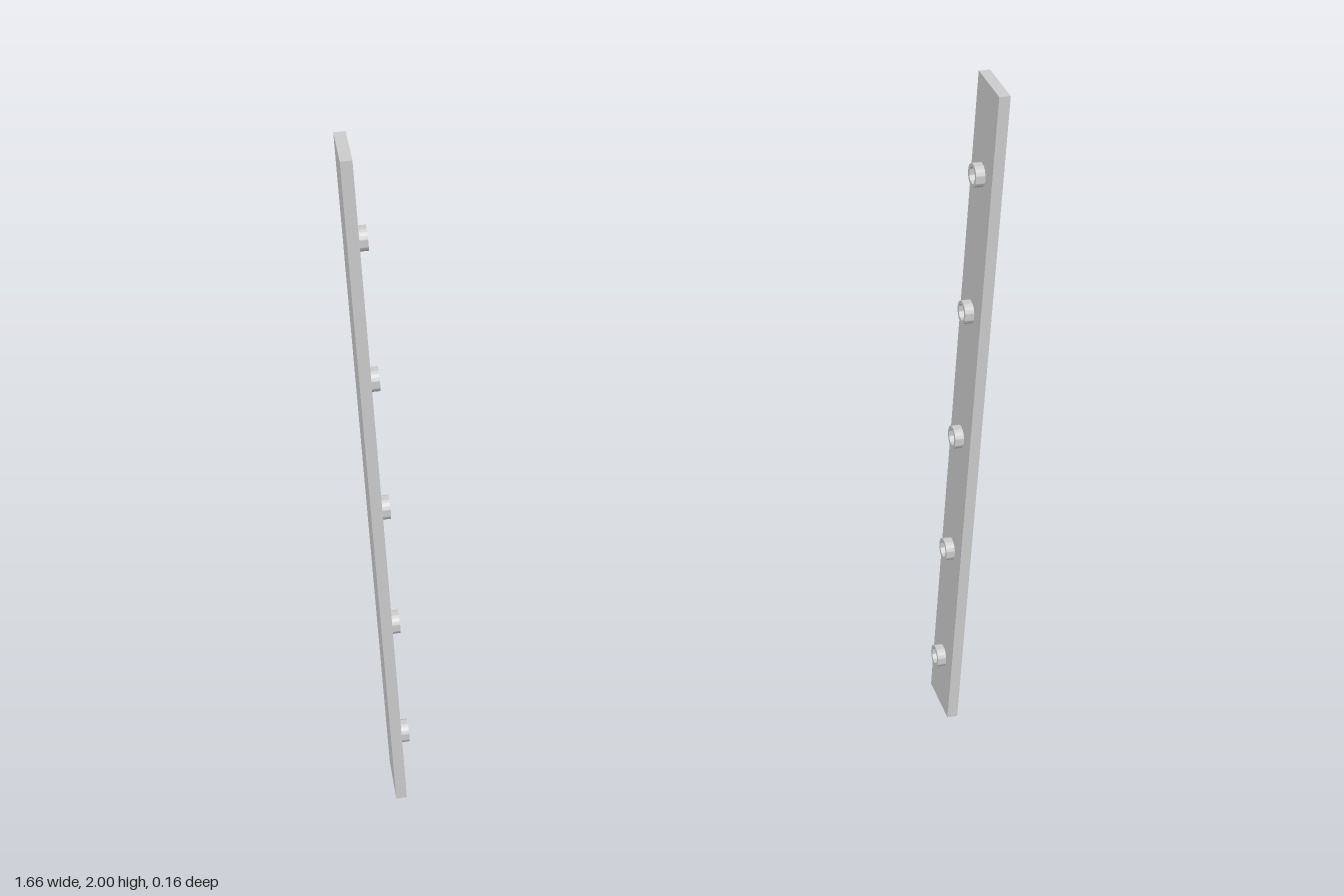
import * as THREE from 'three';
import { toCreasedNormals } from 'three/addons/utils/BufferGeometryUtils.js';

const INNER_FACE = 0.8, THICKNESS = 0.03, WIDTH = 0.16;
const RING_HEIGHTS = [0.173, 0.56, 0.942, 1.34, 1.746];

// Short hollow collar, starting at x = 0 and pointing along +x
function ringGeometry(outer, inner, depth) {
  const shape = new THREE.Shape().absarc(0, 0, outer, 0, Math.PI * 2, false);
  shape.holes.push(new THREE.Path().absarc(0, 0, inner, 0, Math.PI * 2, true));
  const geometry = new THREE.ExtrudeGeometry(shape, { depth, bevelEnabled: false, curveSegments: 32 });
  return toCreasedNormals(geometry.rotateY(Math.PI / 2), 0.6);
}

export function createModel() {
  const model = new THREE.Group();
  model.name = 'uprightPair';
  const material = new THREE.MeshStandardMaterial({ color: 0xcccccc });
  const plankGeometry = new THREE.BoxGeometry(THICKNESS, 2, WIDTH);
  const collarGeometry = ringGeometry(0.032, 0.022, 0.025);

  for (const side of [-1, 1]) {
    const upright = new THREE.Group();
    upright.name = side < 0 ? 'rightUpright' : 'leftUpright';

    // Flat plank; the two sit very slightly out of line
    const plank = new THREE.Mesh(plankGeometry, material);
    plank.name = 'plank';
    plank.position.set(side * (INNER_FACE + THICKNESS / 2), 1, -side * 0.002);
    upright.add(plank);

    // Row of collars on the inner face
    for (const y of RING_HEIGHTS) {
      const collar = new THREE.Mesh(collarGeometry, material);
      collar.name = 'collar';
      collar.position.set(side * INNER_FACE, y, -0.003);
      if (side > 0) collar.rotation.y = Math.PI;
      upright.add(collar);
    }
    model.add(upright);
  }
  return model;
}
